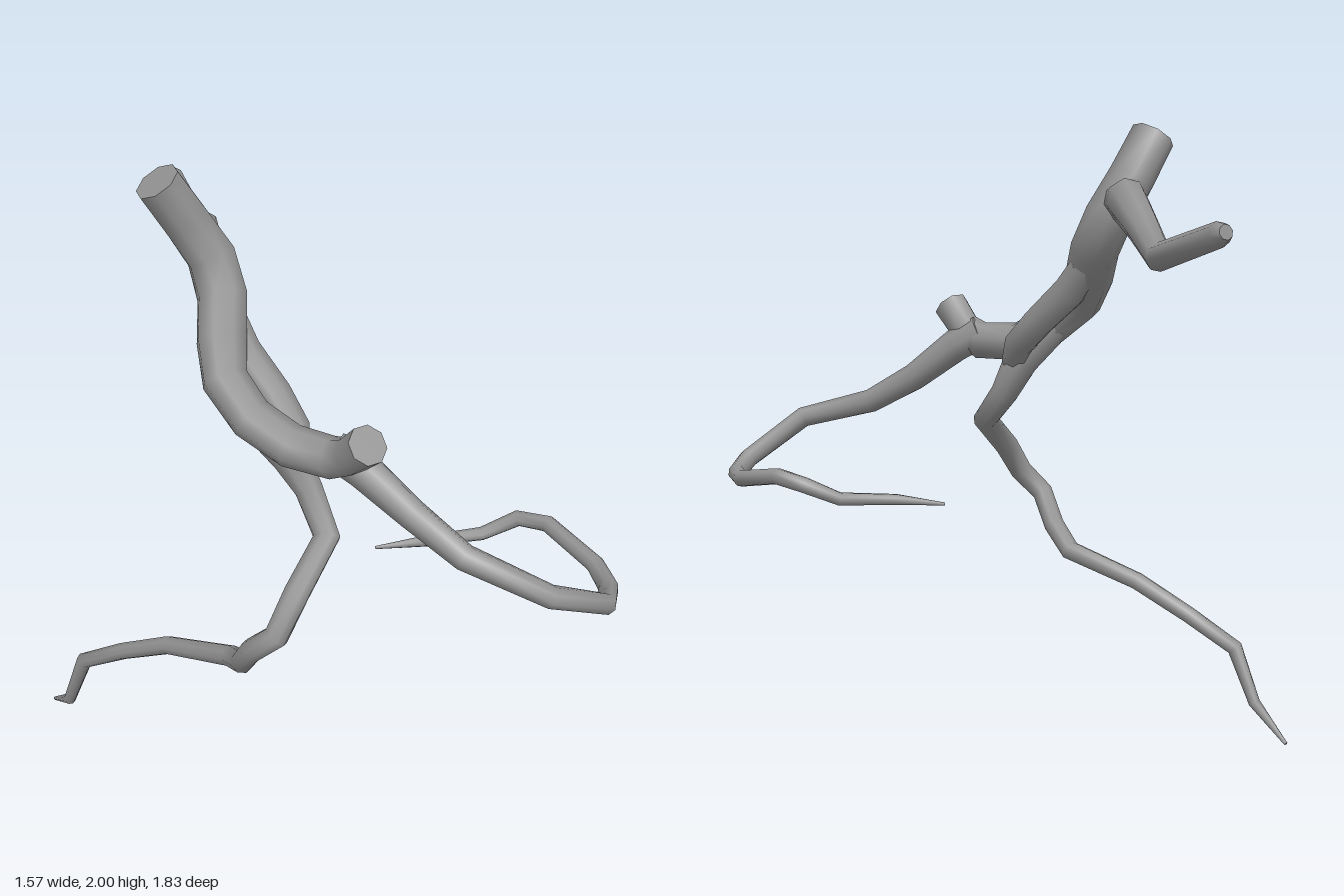
import * as THREE from 'three';

const SIDES = 8;
const vec = p => new THREE.Vector3(p[0], p[1], p[2]);

// Tapered tube through points [x, y, z, radius], closed with flat end caps
function limb(name, pts, material) {
  const centers = pts.map(vec);
  const last = pts.length - 1;
  const dirs = centers.slice(1).map((c, i) => c.clone().sub(centers[i]).normalize());
  const pos = [], index = [];
  const side = new THREE.Vector3(0.31, 0.2, 0.93);

  centers.forEach((c, i) => {
    // ring lies in the plane that bisects the two neighbouring segments
    const t = dirs[Math.max(i - 1, 0)].clone().add(dirs[Math.min(i, last - 1)]).normalize();
    side.addScaledVector(t, -side.dot(t)).normalize();
    const up = t.clone().cross(side);
    for (let k = 0; k < SIDES; k++) {
      const a = k / SIDES * Math.PI * 2;
      const p = c.clone().addScaledVector(side, Math.cos(a) * pts[i][3])
        .addScaledVector(up, Math.sin(a) * pts[i][3]);
      pos.push(p.x, p.y, p.z);
    }
  });
  for (let i = 0; i < last; i++) {
    for (let k = 0; k < SIDES; k++) {
      const a = i * SIDES + k, b = i * SIDES + (k + 1) % SIDES;
      index.push(a, b, b + SIDES, a, b + SIDES, a + SIDES);
    }
  }
  // caps use their own vertices so the rims stay sharp
  for (const [ring, flip] of [[0, true], [last, false]]) {
    const base = pos.length / 3;
    pos.push(...pos.slice(ring * SIDES * 3, (ring + 1) * SIDES * 3));
    for (let k = 1; k < SIDES - 1; k++) {
      index.push(base, base + (flip ? k + 1 : k), base + (flip ? k : k + 1));
    }
  }
  const geo = new THREE.BufferGeometry();
  geo.setAttribute('position', new THREE.Float32BufferAttribute(pos, 3));
  geo.setIndex(index);
  geo.computeVertexNormals();
  const mesh = new THREE.Mesh(geo, material);
  mesh.name = name;
  return mesh;
}

export function createModel() {
  const group = new THREE.Group();
  group.name = 'twistedRoot';
  const mat = new THREE.MeshStandardMaterial({ color: 0x929292 });

  const limbs = {
    // main stem, running into the upper strand of the split and out to the cut stub
    trunk: [
      [-0.36, 1.97, -0.14, 0.07], [-0.28, 1.84, -0.145, 0.072], [-0.21, 1.72, -0.13, 0.076],
      [-0.2, 1.62, -0.06, 0.077], [-0.235, 1.53, 0.04, 0.077], [-0.255, 1.45, 0.13, 0.07],
      [-0.21, 1.37, 0.23, 0.066], [-0.12, 1.31, 0.32, 0.065], [-0.03, 1.31, 0.42, 0.062],
      [0.0, 1.345, 0.48, 0.056], [0.02, 1.42, 0.555, 0.06]],
    // second strand, leaving a gap beside the main stem
    innerStrand: [
      [-0.2, 1.6, -0.05, 0.05], [-0.175, 1.49, 0.05, 0.056], [-0.11, 1.385, 0.15, 0.052],
      [-0.08, 1.31, 0.23, 0.05], [-0.09, 1.24, 0.29, 0.042]],
    backBranch: [
      [-0.23, 1.765, -0.13, 0.045], [-0.225, 1.77, -0.21, 0.068], [-0.175, 1.69, -0.39, 0.052],
      [-0.12, 1.605, -0.575, 0.042], [-0.12, 1.67, -0.88, 0.036], [-0.12, 1.676, -0.91, 0.022]],
    lowerRoot: [
      [-0.2, 1.37, 0.22, 0.06], [-0.11, 1.25, 0.28, 0.058], [-0.06, 1.14, 0.305, 0.045],
      [-0.045, 1.04, 0.42, 0.042], [-0.17, 0.93, 0.51, 0.04], [-0.25, 0.83, 0.56, 0.038],
      [-0.31, 0.755, 0.51, 0.036], [-0.315, 0.65, 0.43, 0.035], [-0.315, 0.58, 0.31, 0.034],
      [-0.46, 0.5, 0.1, 0.03], [-0.58, 0.4, -0.04, 0.028], [-0.69, 0.3, -0.155, 0.027],
      [-0.745, 0.115, -0.195, 0.02], [-0.775, 0.01, -0.335, 0.006]],
    curledRoot: [
      [-0.03, 1.34, 0.42, 0.055], [0.04, 1.29, 0.48, 0.055], [0.15, 1.18, 0.58, 0.046],
      [0.26, 1.09, 0.71, 0.04], [0.45, 1.025, 0.88, 0.035], [0.67, 0.9, 0.82, 0.033],
      [0.74, 0.868, 0.72, 0.03], [0.76, 0.868, 0.6, 0.028], [0.7, 0.9, 0.4, 0.027],
      [0.64, 0.88, 0.315, 0.026], [0.53, 0.83, 0.29, 0.022], [0.35, 0.82, 0.255, 0.018],
      [0.2, 0.8, 0.21, 0.005]],
  };
  for (const [name, pts] of Object.entries(limbs)) group.add(limb(name, pts, mat));
  return group;
}
